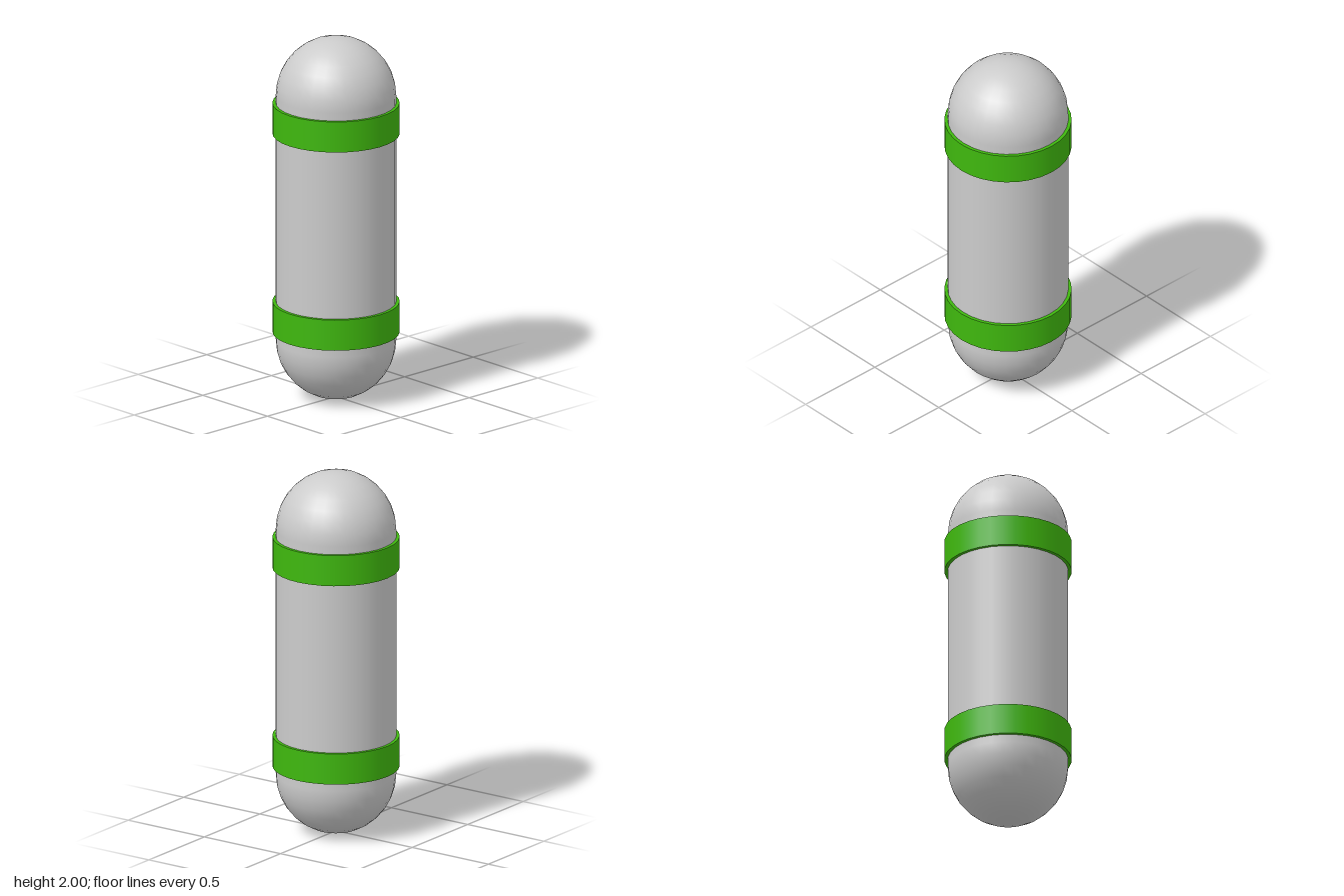
import * as THREE from 'three';

const SIDES = 32;
const HEIGHT = 2;
const RADIUS = 0.32;

export function createModel() {
  const model = new THREE.Group();
  model.name = 'bandedCapsule';

  const grey = new THREE.MeshStandardMaterial({ color: 0xcccccc });
  const green = new THREE.MeshStandardMaterial({ color: 0x3fb80e });

  // Round-ended body
  const body = new THREE.Mesh(
    new THREE.CapsuleGeometry(RADIUS, HEIGHT - 2 * RADIUS, 8, SIDES),
    grey
  );
  body.name = 'body';
  body.position.y = HEIGHT / 2;
  model.add(body);

  // Two raised bands, mirrored about the middle
  const bandGeometry = new THREE.CylinderGeometry(0.338, 0.338, 0.17, SIDES);
  for (const [name, side] of [['lowerBand', -1], ['upperBand', 1]]) {
    const band = new THREE.Mesh(bandGeometry, green);
    band.name = name;
    band.position.y = HEIGHT / 2 + side * 0.552;
    model.add(band);
  }

  return model;
}
